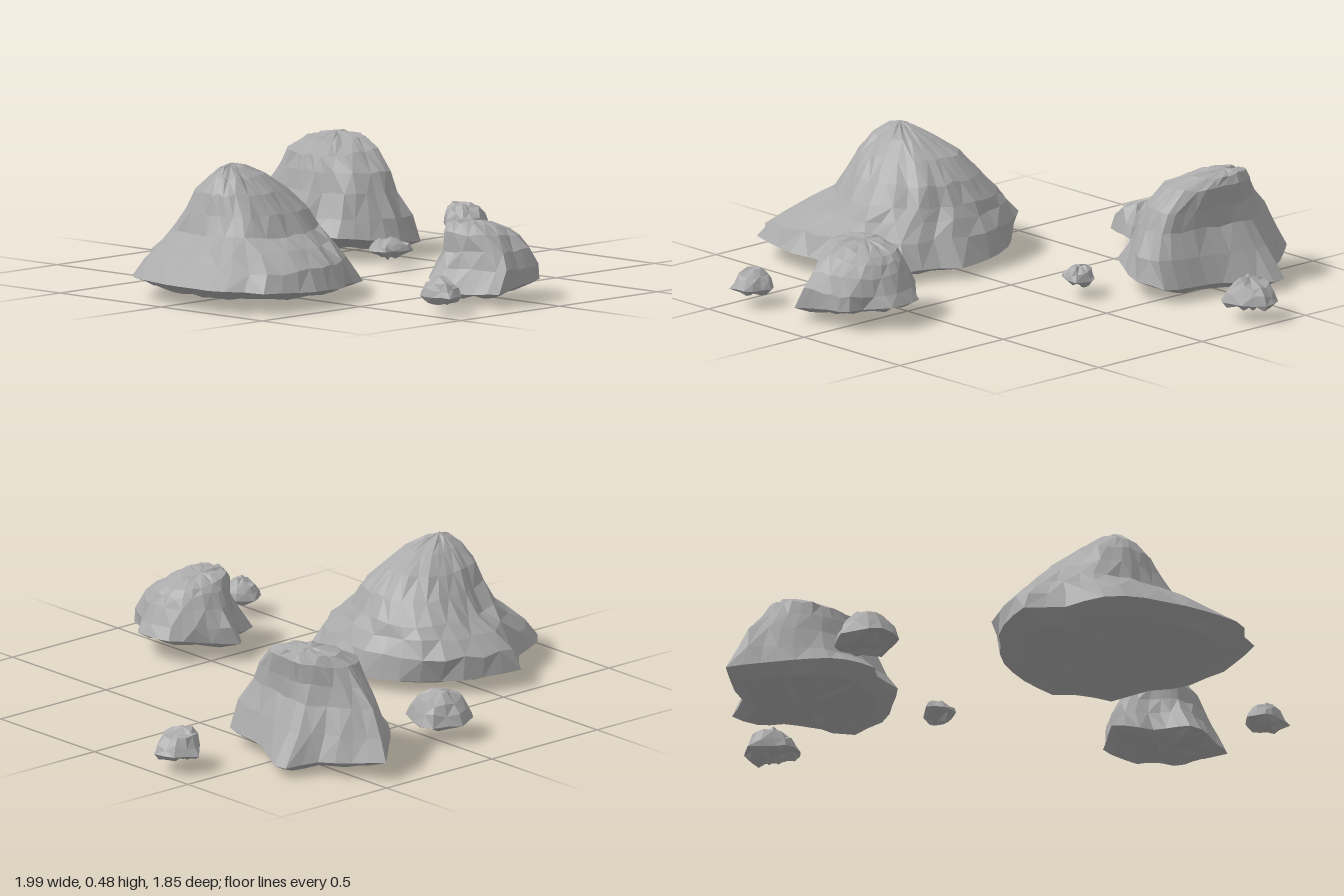
import * as THREE from 'three';

// Seeded random numbers in [-1, 1]
function makeRandom(seed) {
  let s = seed * 7919 + 17;
  return () => {
    s = (s * 16807) % 2147483647;
    return (s / 2147483647) * 2 - 1;
  };
}

// A rock is a stack of rings. The outline is the widest ring, clockwise from above as [x, z].
// Each level is [y, xMin, xMax, zMin, zMax, drop towards +x]; rings turn into rounded squares
// towards the top. A bulge [angle, amount] swells one side of the upper rings.
function rockGeometry({ outline, baseY, bottomY, tilt = 0, levels, peak, sides, rough, seed, square = 2.6, bulge = [0, 0] }) {
  const random = makeRandom(seed);
  const points = outline.map(([x, z]) => new THREE.Vector2(x, z));
  const box = new THREE.Box2().setFromPoints(points);
  const mid = box.getCenter(new THREE.Vector2());
  const half = box.getSize(new THREE.Vector2()).multiplyScalar(0.5);
  const path = new THREE.Shape([...points, points[0]]);
  const unit = path.getSpacedPoints(sides).slice(0, sides)
    .map((p) => [(p.x - mid.x) / half.x, (p.y - mid.y) / half.y]);

  const inset = (y, k, drop) =>
    [y, mid.x - half.x * k, mid.x + half.x * k, mid.y - half.y * k, mid.y + half.y * k, drop];
  const rings = [
    inset(bottomY, 0.4, tilt * 0.4), inset(bottomY + 0.012, 0.78, tilt * 0.8), inset(baseY, 1, tilt), ...levels
  ];
  const positions = [];
  rings.forEach(([y, x0, x1, z0, z1, drop = 0], r) => {
    const up = Math.max(0, r - 2) / levels.length;
    const round = Math.min(1, up * 1.1);
    const amount = r === 2 ? 0.25 : 1;
    unit.forEach(([u, v]) => {
      const a = Math.atan2(v, u), c = Math.cos(a), s = Math.sin(a);
      const corner = (Math.abs(c) ** square + Math.abs(s) ** square) ** (-1 / square);
      const swell = r > 2 ? bulge[1] * Math.max(0, Math.cos(a - bulge[0])) ** 4 : 0;
      const k = 1 + swell + random() * rough * amount;
      const pu = THREE.MathUtils.lerp(u, c * corner, round) * k;
      const pv = THREE.MathUtils.lerp(v, s * corner, round) * k;
      positions.push(
        (x0 + x1) / 2 + pu * (x1 - x0) / 2,
        y - drop * u + random() * rough * 0.18 * amount,
        (z0 + z1) / 2 + pv * (z1 - z0) / 2
      );
    });
  });
  const low = positions.length / 3;
  positions.push(mid.x, bottomY, mid.y, ...peak);

  const index = [];
  const last = (rings.length - 1) * sides;
  for (let i = 0; i < sides; i++) {
    const j = (i + 1) % sides;
    for (let r = 0; r < last; r += sides) {
      const a = r + i, b = r + j, c = a + sides, d = b + sides;
      if ((i + r / sides) % 2) index.push(b, a, c, b, c, d);
      else index.push(b, a, d, a, c, d);
    }
    index.push(low, i, j, low + 1, last + j, last + i);
  }
  const indexed = new THREE.BufferGeometry();
  indexed.setAttribute('position', new THREE.Float32BufferAttribute(positions, 3));
  indexed.setIndex(index);
  const flat = indexed.toNonIndexed();
  flat.computeVertexNormals();
  return flat;
}

// Small stones share one profile, squeezed to the given height
function pebble(outline, top, peakX, peakZ, seed) {
  const xs = outline.map((p) => p[0]), zs = outline.map((p) => p[1]);
  const x0 = Math.min(...xs), x1 = Math.max(...xs), z0 = Math.min(...zs), z1 = Math.max(...zs);
  const baseY = 0.08, h = top - baseY;
  const level = (t, k) => [
    baseY + h * t,
    THREE.MathUtils.lerp(peakX, x0, k), THREE.MathUtils.lerp(peakX, x1, k),
    THREE.MathUtils.lerp(peakZ, z0, k), THREE.MathUtils.lerp(peakZ, z1, k)
  ];
  return {
    outline, baseY, bottomY: 0.058, sides: 14, rough: 0.07, seed,
    levels: [level(0.35, 0.83), level(0.68, 0.62), level(0.9, 0.32)],
    peak: [peakX, top, peakZ]
  };
}

const rocks = {
  // Broad boulder with a peak, a front shelf and a full back shoulder
  largeBoulder: {
    outline: [[-0.63, -0.45], [-0.45, -0.41], [-0.26, -0.24], [-0.19, -0.08], [-0.17, 0.08], [-0.235, 0.16],
      [-0.245, 0.27], [-0.42, 0.34], [-0.475, 0.41], [-0.69, 0.45], [-0.89, 0.41], [-0.93, 0.3],
      [-1, 0.28], [-0.99, 0.05], [-0.945, -0.16], [-0.88, -0.27], [-0.7, -0.34]],
    baseY: 0.075, bottomY: 0.028, tilt: 0.02, sides: 36, rough: 0.035, seed: 3, bulge: [-0.785, 0.15],
    levels: [[0.15, -0.93, -0.23, -0.41, 0.41], [0.205, -0.85, -0.27, -0.35, 0.31], [0.25, -0.79, -0.29, -0.29, 0.23],
      [0.32, -0.76, -0.33, -0.22, 0.18], [0.39, -0.74, -0.4, -0.165, 0.12], [0.445, -0.7, -0.49, -0.1, 0.06],
      [0.475, -0.66, -0.56, -0.06, 0.01]],
    peak: [-0.61, 0.49, -0.03]
  },
  // Tall boulder with a pointed back, a side spur and a steep wall
  tallBoulder: {
    outline: [[0.44, -0.93], [0.555, -0.79], [0.59, -0.72], [0.7, -0.68], [0.71, -0.64], [0.605, -0.45],
      [0.57, -0.23], [0.41, -0.2], [0.22, -0.31], [0.2, -0.43], [0.15, -0.48], [0.165, -0.615], [0.235, -0.73]],
    baseY: 0.08, bottomY: 0.035, tilt: 0.03, sides: 32, rough: 0.03, seed: 8, bulge: [0.785, 0.06],
    levels: [[0.16, 0.21, 0.63, -0.89, -0.23], [0.25, 0.26, 0.57, -0.83, -0.27], [0.32, 0.28, 0.56, -0.77, -0.31],
      [0.385, 0.3, 0.565, -0.72, -0.38, -0.012], [0.42, 0.38, 0.55, -0.67, -0.46, -0.008],
      [0.432, 0.44, 0.53, -0.62, -0.52]],
    peak: [0.49, 0.436, -0.58]
  },
  // Blocky medium boulder with a sloping top
  mediumBoulder: {
    outline: [[-0.075, 0.43], [0.015, 0.49], [0.15, 0.58], [0.155, 0.72], [0.075, 0.8], [0.06, 0.85],
      [-0.05, 0.855], [-0.19, 0.88], [-0.235, 0.775], [-0.3, 0.67], [-0.295, 0.6], [-0.165, 0.56], [-0.13, 0.48]],
    baseY: 0.075, bottomY: 0.045, tilt: -0.025, sides: 28, rough: 0.035, seed: 5, square: 3.2,
    levels: [[0.14, -0.23, 0.13, 0.455, 0.87], [0.2, -0.2, 0.1, 0.495, 0.84],
      [0.25, -0.195, 0.08, 0.53, 0.79, 0.012], [0.28, -0.165, 0.055, 0.555, 0.74, 0.022],
      [0.292, -0.12, 0, 0.59, 0.69, 0.008]],
    peak: [-0.07, 0.296, 0.64]
  },
  // Scattered small stones
  backStone: pebble([[-0.04, -0.8], [0.08, -0.735], [0.065, -0.655], [0.02, -0.56], [-0.13, -0.6],
    [-0.165, -0.67], [-0.16, -0.735]], 0.19, -0.03, -0.68, 11),
  leftStone: pebble([[0.895, -0.44], [0.985, -0.385], [1, -0.32], [0.915, -0.245], [0.825, -0.24],
    [0.79, -0.33], [0.835, -0.375]], 0.165, 0.88, -0.34, 13),
  middleStone: pebble([[0.235, -0.17], [0.33, -0.105], [0.31, -0.015], [0.205, -0.05], [0.19, -0.12]],
    0.12, 0.26, -0.09, 17),
  frontStone: pebble([[-0.435, 0.755], [-0.36, 0.81], [-0.395, 0.91], [-0.475, 0.925], [-0.51, 0.8]],
    0.15, -0.44, 0.83, 19)
};

export function createModel() {
  const group = new THREE.Group();
  group.name = 'rockCluster';
  const stone = new THREE.MeshStandardMaterial({ color: 0xaaaaaa });
  stone.name = 'grey stone';
  for (const [name, spec] of Object.entries(rocks)) {
    const mesh = new THREE.Mesh(rockGeometry(spec), stone);
    mesh.name = name;
    group.add(mesh);
  }
  return group;
}
